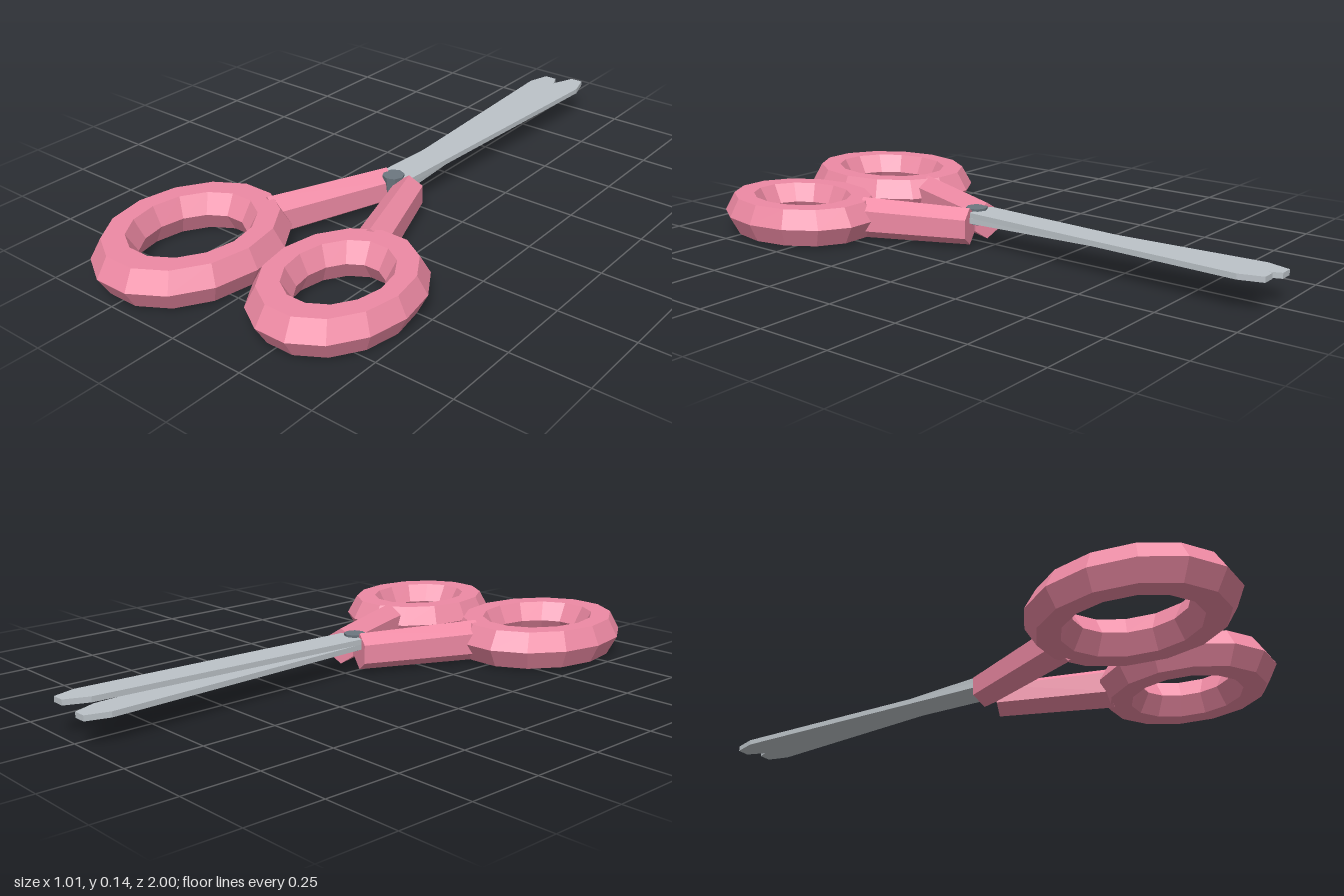
import * as THREE from 'three';

const material = (color) => new THREE.MeshStandardMaterial({ color, flatShading: true });
const MID = 0.072; // height of the handle's centre plane

export function createModel() {
  const group = new THREE.Group();
  const pink = material(0xee8aa4);
  const steel = material(0xbcc3c8);
  const dark = material(0x6c7780);

  const add = (name, geometry, mat) => {
    const mesh = new THREE.Mesh(geometry, mat);
    mesh.name = name;
    group.add(mesh);
  };

  // Oval finger ring: a six-sided tube lying flat
  const ring = (name, x, z, major, minor) => {
    const g = new THREE.TorusGeometry(major, minor, 6, 14);
    g.rotateX(Math.PI / 2).scale(0.81, 0.96, 1).translate(x, MID, z);
    add(name, g, pink);
  };
  ring('rightFingerRing', -0.243, 0.685, 0.2485, 0.0745);
  ring('leftFingerRing', 0.269, 0.62, 0.217, 0.073);

  // Tapered hexagonal arm with a ridge along its top, from pivot to ring
  const arm = (name, x0, z0, x1, z1) => {
    const dx = x1 - x0, dz = z1 - z0;
    const g = new THREE.CylinderGeometry(0.069, 0.061, Math.hypot(dx, dz), 6);
    g.rotateX(Math.PI / 2).scale(0.86, 1, 1).rotateY(Math.atan2(dx, dz));
    g.translate((x0 + x1) / 2, MID, (z0 + z1) / 2);
    add(name, g, pink);
  };
  arm('rightArm', -0.018, 0.047, -0.172, 0.44);
  arm('leftArm', 0.073, 0.047, 0.2, 0.4);

  // Blades: two mirrored flat plates, one lying on the other
  const outline = [[-0.055, 0.05], [0.052, 0.05], [0.005, -0.925], [0.035, -1], [0.078, -1], [0.1, -0.925]];
  const blade = (name, side, y) => {
    // the first two points are the base; the rest run from inner edge to outer edge
    const [a, b, ...tip] = outline;
    const points = [b, a, ...tip].map(([x, z]) => new THREE.Vector2(0.02 + side * x, -z));
    const g = new THREE.ExtrudeGeometry(new THREE.Shape(points), { depth: 0.0175, bevelEnabled: false });
    g.rotateX(-Math.PI / 2).translate(0, y, 0);
    add(name, g, steel);
  };
  blade('lowerBlade', -1, 0.082);
  blade('upperBlade', 1, 0.0995);

  // Pivot screw
  add('pivotScrew', new THREE.CylinderGeometry(0.036, 0.03, 0.055, 8).translate(0.02, 0.0975, 0.06), dark);

  return group;
}
